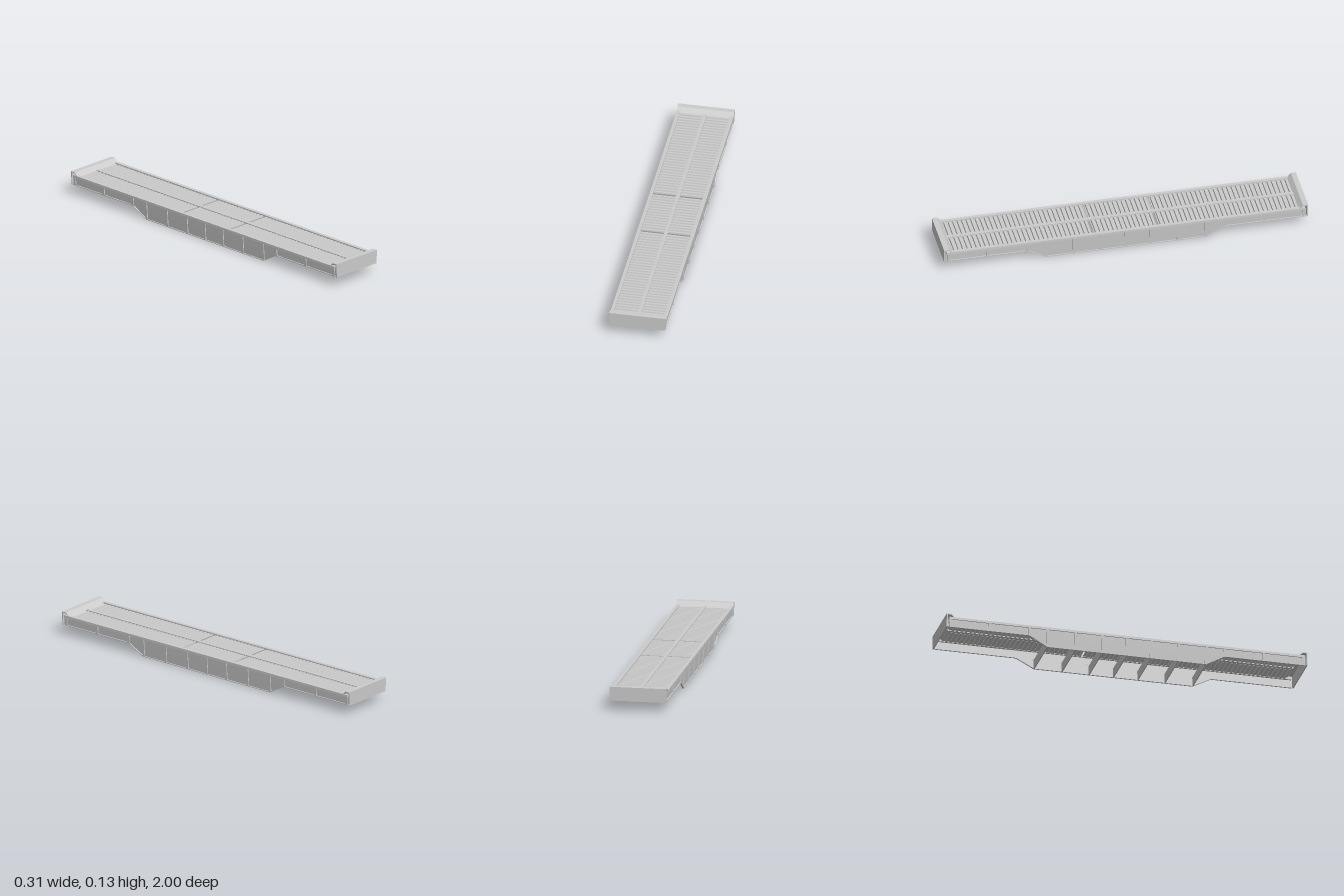
import * as THREE from 'three';

const material = new THREE.MeshStandardMaterial({ color: 0xcccccc, flatShading: true, side: THREE.DoubleSide });

// Below the rail the body narrows slightly towards the ground.
function taper(geometry) {
  const p = geometry.attributes.position;
  for (let i = 0; i < p.count; i++) {
    const x = p.getX(i);
    p.setX(i, x - Math.sign(x) * Math.max(0, 0.1 - p.getY(i)) * 0.08);
  }
  geometry.computeVertexNormals();
  return geometry;
}

// Extrudes a [z, y] profile across the width from x0 to x1.
function across(name, profile, x0, x1) {
  const shape = new THREE.Shape(profile.map(([z, y]) => new THREE.Vector2(z, y)));
  const geometry = new THREE.ExtrudeGeometry(shape, { depth: x1 - x0, bevelEnabled: false });
  geometry.rotateY(-Math.PI / 2).translate(x1, 0, 0);
  const mesh = new THREE.Mesh(taper(geometry), material);
  mesh.name = name;
  return mesh;
}

function block(name, x0, x1, y0, y1, z0, z1) {
  return across(name, [[z0, y0], [z1, y0], [z1, y1], [z0, y1]], x0, x1);
}

// Mirrors an x interval for the left (+1) or right (-1) side.
const span = (side, a, b) => (side > 0 ? [a, b] : [-b, -a]);

// Thin corrugated sheet: flat ribs with narrow V grooves.
function corrugated(z0, z1) {
  const n = Math.round((z1 - z0) / 0.025), pitch = (z1 - z0) / n;
  const top = [];
  for (let i = 0; i < n; i++) {
    const z = z0 + i * pitch;
    top.push([z, 0.107], [z + pitch * 0.55, 0.107], [z + pitch * 0.65, 0.098], [z + pitch * 0.9, 0.098]);
  }
  top.push([z1, 0.107]);
  const bottom = top.map(([z, y]) => [z, y - 0.003]).reverse();
  return top.concat(bottom);
}

export function createModel() {
  const model = new THREE.Group();
  model.name = 'slattedWagonFrame';

  // Deck panels, separated by two open slots
  const deck = new THREE.Group();
  deck.name = 'deck';
  for (const [z0, z1] of [[-0.95, -0.184], [-0.171, 0.171], [0.184, 0.95]]) {
    const profile = corrugated(z0, z1);
    for (const side of [-1, 1]) deck.add(across('corrugatedPanel', profile, ...span(side, 0.009, 0.138)));
  }
  deck.add(block('centreStrip', -0.01, 0.01, 0.098, 0.111, -0.96, 0.96));
  model.add(deck);

  // Side walls with a deeper belly in the middle
  const belly = [[-0.99, 0.055], [-0.54, 0.055], [-0.44, 0], [0.44, 0], [0.54, 0.055], [0.99, 0.055]];
  const wall = [...belly, [0.99, 0.105], [-0.99, 0.105]];
  const edge = [...belly, ...belly.map(([z, y]) => [z, y + 0.004]).reverse()];
  const floorAt = (z) => Math.min(0.055, Math.max(0, (Math.abs(z) - 0.44) * 0.55));
  const ribs = [0, 0.135, 0.285, 0.44, 0.54, 0.76, 0.975];

  for (const side of [-1, 1]) {
    const group = new THREE.Group();
    group.name = side > 0 ? 'leftSide' : 'rightSide';
    group.add(
      across('web', wall, ...span(side, 0.146, 0.149)),
      across('bottomFlange', edge, ...span(side, 0.146, 0.155)),
      block('topRail', ...span(side, 0.136, 0.155), 0.1, 0.113, -0.985, 0.985),
    );
    // Outer stiffening ribs
    for (const r of ribs) {
      for (const z of r === 0 ? [0] : [-r, r]) {
        const a = z - 0.007, b = z + 0.007;
        group.add(across('rib', [[a, floorAt(a)], [b, floorAt(b)], [b, 0.105], [a, 0.105]],
          ...span(side, 0.146, 0.1545)));
      }
    }
    model.add(group);
  }

  // Cross members in the belly
  for (const z of [-0.44, -0.285, -0.135, 0, 0.135, 0.285, 0.44]) {
    model.add(block('crossMember', -0.147, 0.147, 0, 0.052, z - 0.003, z + 0.003));
  }

  // Raised end sills, sloping down to the deck
  const sill = [[1, 0.055], [1, 0.131], [0.972, 0.131], [0.945, 0.102], [0.945, 0.098],
    [0.974, 0.126], [0.994, 0.126], [0.994, 0.055]];
  for (const end of [-1, 1]) {
    model.add(across(end > 0 ? 'frontSill' : 'backSill', sill.map(([z, y]) => [z * end, y]), -0.155, 0.155));
  }
  return model;
}
